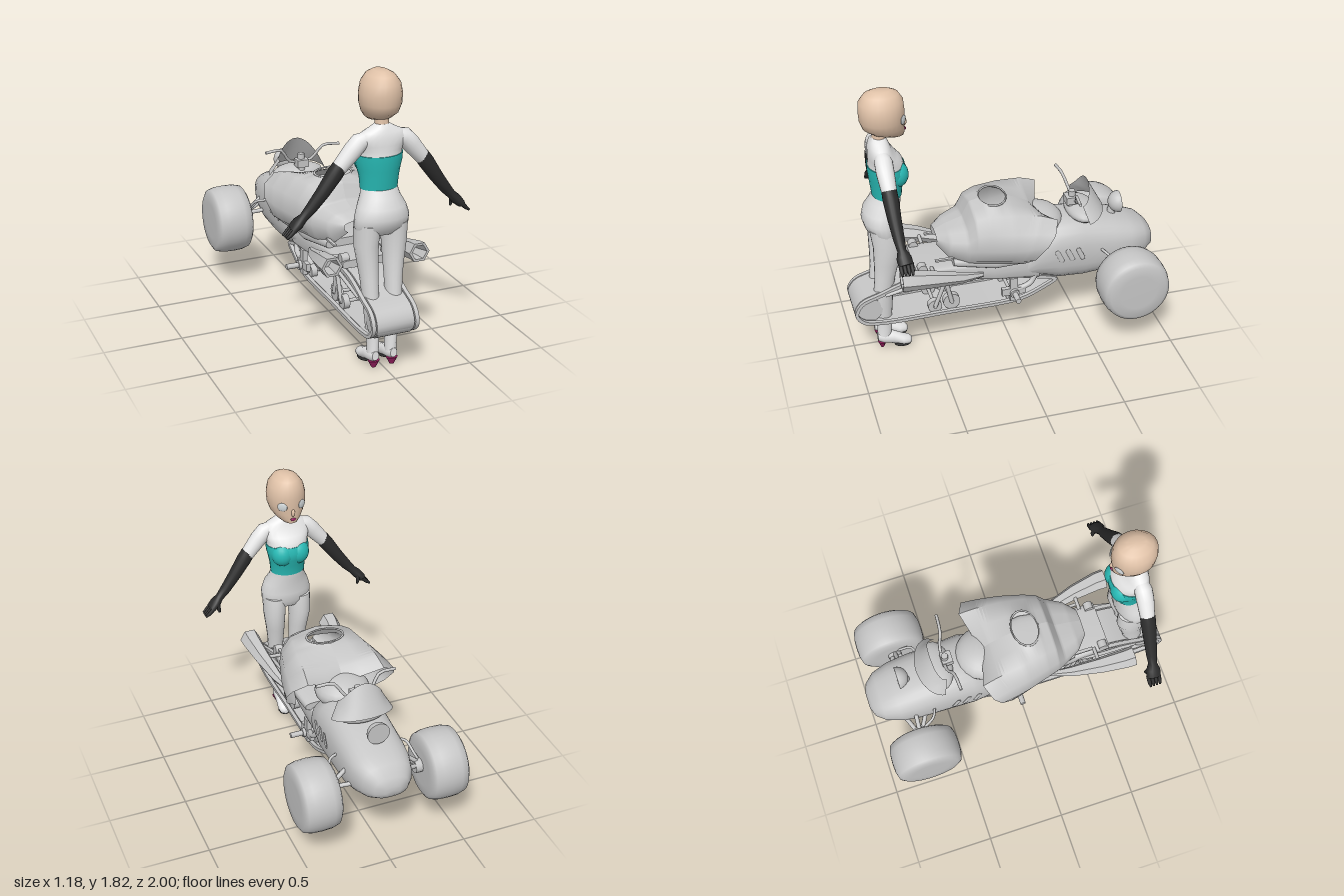
import * as THREE from 'three';
import { toCreasedNormals } from 'three/addons/utils/BufferGeometryUtils.js';

const V = (x, y, z) => new THREE.Vector3(x, y, z);
const Y = V(0, 1, 0), Z = V(0, 0, 1);
const mat = (name, color, side = THREE.FrontSide) => Object.assign(new THREE.MeshStandardMaterial({ color, side }), { name });
const mesh = (pos, idx) => {
  const g = new THREE.BufferGeometry();
  g.setAttribute('position', new THREE.Float32BufferAttribute(pos.flatMap(p => [p.x, p.y, p.z]), 3));
  g.setIndex(idx);
  return toCreasedNormals(g, 0.9);
};

// Skin a list of equal rings into a closed solid, facing outward
function loft(rings) {
  const n = rings[0].length, pos = rings.flat(), idx = [];
  for (let i = 0; i < rings.length - 1; i++) for (let j = 0; j < n; j++) {
    const a = i * n + j, b = i * n + (j + 1) % n;
    idx.push(a, b, a + n, b, b + n, a + n);
  }
  [0, rings.length - 1].forEach((r, k) => {
    const ci = pos.push(rings[r].reduce((s, p) => s.add(p), V(0, 0, 0)).divideScalar(n)) - 1;
    for (let j = 0; j < n; j++) {
      const a = r * n + j, b = r * n + (j + 1) % n;
      idx.push(...(k ? [a, b, ci] : [b, a, ci]));
    }
  });
  let vol = 0;
  for (let i = 0; i < idx.length; i += 3) vol += pos[idx[i]].dot(pos[idx[i + 1]].clone().cross(pos[idx[i + 2]]));
  if (vol < 0) idx.reverse();
  return mesh(pos, idx);
}

// Elliptic rings from [x, y, z, radiusU, radiusV]; axis is fixed, or follows the path
function sweep(secs, ref, axis = null, sides = 18, power = 1) {
  const bend = t => Math.sign(t) * Math.abs(t) ** power;
  return loft(secs.map((s, i) => {
    const p = secs[Math.max(0, i - 1)], q = secs[Math.min(secs.length - 1, i + 1)];
    const d = axis ?? V(q[0] - p[0], q[1] - p[1], q[2] - p[2]).normalize();
    const u = ref.clone().cross(d).normalize(), v = d.clone().cross(u);
    return Array.from({ length: sides }, (_, j) => {
      const a = j / sides * Math.PI * 2;
      return V(s[0], s[1], s[2]).addScaledVector(u, s[3] * bend(Math.cos(a))).addScaledVector(v, (s[4] ?? s[3]) * bend(Math.sin(a)));
    });
  }));
}

export function createModel() {
  const model = new THREE.Group(), vehicle = new THREE.Group(), rider = new THREE.Group();
  vehicle.name = 'vehicle';
  rider.name = 'figure';
  model.add(vehicle, rider);
  const grey = mat('vehicle grey', 0xc6c6c6, THREE.DoubleSide), white = mat('off white', 0xececec), cloth = mat('trouser grey', 0xdcdcdc);
  const teal = mat('teal', 0x28bab5), black = mat('black', 0x2b2b2b), skin = mat('skin', 0xe0c2a8);
  const magenta = mat('magenta', 0x9a2062), eyeMat = mat('eye grey', 0xd0d6d8);
  const add = (parent, name, geo, m, x = 0, y = 0, z = 0) => {
    const o = new THREE.Mesh(geo, m);
    o.name = name;
    o.position.set(x, y, z);
    parent.add(o);
    return o;
  };
  const part = (name, geo, x, y, z) => add(vehicle, name, geo, grey, x, y, z);
  const body = (name, geo, m, x, y, z) => add(rider, name, geo, m, x, y, z);
  const rod = (name, pts, r) => part(name, new THREE.TubeGeometry(new THREE.CatmullRomCurve3(pts.map(p => V(...p))), 16, r, 8));
  const disc = (r, w, sides = 24) => new THREE.CylinderGeometry(r, r, w, sides).rotateZ(Math.PI / 2);
  const ball = (rx, ry, rz) => new THREE.SphereGeometry(1, 20, 14).scale(rx, ry, rz);

  // Nose and chassis
  part('noseBody', sweep([[0, .55, -1, .05, .03], [0, .56, -.98, .11, .07], [0, .57, -.92, .16, .115],
    [0, .57, -.82, .192, .15], [0, .565, -.7, .203, .19], [0, .575, -.5, .205, .22], [0, .59, -.33, .215, .22],
    [0, .575, -.2, .2, .16], [0, .52, -.12, .17, .09]], Y, Z, 28, .75));
  part('chassis', sweep([[0, .51, -.2, .17, .09], [0, .525, .1, .172, .065], [0, .565, .35, .17, .055], [0, .6, .6, .165, .025]], Y, Z, 28, .35));
  part('underSeat', sweep([[0, .6, -.1, .2, .03], [0, .62, .1, .22, .05], [0, .64, .36, .17, .03]], Y, Z, 24, .5));
  part('tank', ball(.175, .1, .17), 0, .78, -.22);

  // Hollow seat cowl around an oval opening: [z, width, bottom, widest, ridge, centre, forward lean]
  const ribs = [[.45, .09, .74, .78, .8, .81, 0], [.38, .17, .66, .75, .835, .845, 0], [.27, .23, .62, .75, .86, .88, 0],
    [.22, .255, .62, .76, .94, .98, 0], [.14, .28, .62, .76, .965, 1.0, 0], [.02, .32, .62, .765, .965, .99, .1],
    [-.03, .345, .62, .775, .95, .92, .45], [-.07, .362, .62, .79, .91, .83, .75]];
  for (const s of [-1, 1]) {
    const pos = [], idx = [], steps = 8;
    for (let i = 0; i <= (ribs.length - 1) * steps; i++) {
      const r = Math.min(Math.floor(i / steps), ribs.length - 2), f = i / steps - r;
      const [z, w, yb, ym, yt, yc, k] = ribs[r].map((v, c) => v + (ribs[r + 1][c] - v) * f);
      const hole = .12 * Math.sqrt(Math.max(0, 1 - ((z - k * (yc - .62) - .07) / .086) ** 2));
      [[hole, yc], [Math.max(.35 * w, hole + .01), yt * .4 + yc * .6], [.7 * w, yt], [.95 * w, ym * .45 + yt * .55], [w, ym],
        [.92 * w, yb * .6 + ym * .4], [.7 * w, yb]].forEach(([x, y]) => pos.push(V(s * x, y, z - k * (y - .62))));
    }
    for (let a = 0; a < pos.length - 7; a++) if (a % 7 < 6)
      idx.push(...(s > 0 ? [a, a + 1, a + 7, a + 1, a + 8, a + 7] : [a, a + 7, a + 1, a + 1, a + 7, a + 8]));
    part('seatCowl', mesh(pos, idx));
  }
  part('cowlRim', new THREE.TorusGeometry(.1, .006, 8, 32).rotateX(Math.PI / 2).scale(1.2, 1, .85), 0, .996, .07).rotation.x = .06;

  // Windshield: tall in the middle, dropping to the sides
  const glass = new THREE.CylinderGeometry(.14, .2, .21, 20, 4, true, Math.PI / 2, Math.PI).scale(1, 1, .7);
  const gp = glass.attributes.position;
  for (let i = 0; i < gp.count; i++)
    gp.setY(i, gp.getY(i) - (gp.getY(i) / .21 + .5) * .1 * Math.min(1, Math.abs(gp.getX(i)) / .14) ** 2);
  glass.computeVertexNormals();
  part('windshield', glass, 0, .9, -.49).rotation.x = .3;

  // Instruments, handlebars and headlight
  part('dashboard', ball(.17, .055, .1), 0, .81, -.52);
  part('handlebarStem', new THREE.CylinderGeometry(.022, .03, .18, 10), 0, .86, -.46);
  rod('handlebar', [[-.26, .995, -.43], [-.15, .995, -.44], [-.07, .9, -.47], [.07, .9, -.47], [.15, .995, -.44], [.26, .995, -.43]], .01);
  part('barClamp', new THREE.BoxGeometry(.08, .05, .07), 0, .89, -.45);
  part('headlight', new THREE.SphereGeometry(.072, 20, 10, 0, Math.PI * 2, 0, Math.PI / 2).rotateX(Math.PI / 2), 0, .815, -.782);
  part('headlightLens', new THREE.CircleGeometry(.072, 20).rotateY(Math.PI), 0, .815, -.782);
  part('headlightMount', new THREE.CylinderGeometry(.02, .035, .09, 10), 0, .745, -.73);

  // Track belt and its edge rails
  const path = new THREE.CatmullRomCurve3([[-.33, .39], [-.24, .33], [-.1, .27], [.02, .255], [.4, .252], [.84, .25],
    [.95, .275], [1, .345], [.96, .43], [.84, .48], [.6, .555], [.2, .51], [-.15, .45]].map(p => V(p[0], p[1], 0)), true, 'centripetal');
  const belt = (thick, width) => {
    const ring = off => path.getSpacedPoints(100).slice(0, -1).map((p, i) => {
      const t = path.getTangentAt(i / 100);
      return new THREE.Vector2(p.x - t.y * off, p.y + t.x * off);
    });
    const s = new THREE.Shape(ring(0));
    s.holes.push(new THREE.Path(ring(thick)));
    return toCreasedNormals(new THREE.ExtrudeGeometry(s, { depth: width, bevelEnabled: false }).translate(0, 0, -width / 2).rotateY(-Math.PI / 2), .6);
  };
  part('trackBelt', belt(.014, .24));
  for (const s of [-1, 1]) part('trackRail', belt(.022, .025), s * .14, 0, 0);

  // Track rollers, hangers and rear drum
  part('rearDrum', disc(.088, .22, 32), 0, .345, .905);
  for (const [z, y, r] of [[.55, .52, .045], [.48, .302, .045], [.37, .32, .055], [-.03, .3, .042]]) {
    part('rollerAxle', disc(.012, .26, 8), 0, y, z);
    for (const s of [-1, 1]) part('roller', disc(r, .04), s * .1, y, z);
  }
  const tyre = [[0, -.122], [.12, -.122], [.185, -.12], [.21, -.105], [.222, -.06], [.225, 0], [.222, .06], [.21, .105], [.185, .12], [.12, .122], [0, .122]];
  for (const s of [-1, 1]) {
    part('hangerBlock', new THREE.BoxGeometry(.04, .09, .12), s * .1, .5, .4);
    rod('hangerStrut', [[s * .12, .46, .42], [s * .12, .3, .48]], .014);
    rod('hangerStrut', [[s * .12, .46, .4], [s * .12, .32, .37]], .014);
    part('pegPlate', new THREE.BoxGeometry(.03, .05, .16), s * .16, .36, -.03);
    part('pegPlate', new THREE.BoxGeometry(.03, .17, .05), s * .16, .375, -.03);
    part('footPeg', disc(.018, .12, 10), s * .22, .355, -.03);
    part('pegEnd', disc(.03, .02, 12), s * .19, .355, -.03);
    rod('pegBracket', [[s * .16, .36, -.03], [s * .16, .4, -.14], [s * .15, .46, -.18]], .018);
    rod('trackStay', [[s * .15, .57, .3], [s * .17, .55, .5], [s * .15, .47, .8]], .012);

    // Exhaust trumpet with hollow hexagonal mouth
    part('exhaust', sweep([[s * .2, .55, .18, .015], [s * .235, .575, .32, .035], [s * .268, .62, .5, .053], [s * .285, .65, .66, .064],
      [s * .285, .657, .72, .067], [s * .285, .657, .72, .05], [s * .275, .64, .6, .035]], Y, Z, 6));
    rod('exhaustClamp', [[s * .14, .62, .5], [s * .26, .63, .5]], .012);
    part('rearLamp', disc(.03, .05, 10), s * .14, .63, .56);
    part('seatHandle', new THREE.BoxGeometry(.02, .012, .12), s * .16, .68, .42);

    // Front wheel, suspension and side vents
    part('frontWheel', toCreasedNormals(new THREE.LatheGeometry(tyre.map(p => new THREE.Vector2(...p)), 40).rotateZ(Math.PI / 2), 1.2),
      s * .416 - .01, .452, -.745);
    for (const [y, z] of [[.47, -.66], [.47, -.8], [.55, -.73]]) rod('suspensionArm', [[s * .17, y + .04, z], [s * .31, .47, -.74]], .014);
    rod('brakeLine', [[s * .18, .6, -.6], [s * .25, .59, -.63], [s * .28, .53, -.7], [s * .31, .47, -.74]], .009);
    part('wheelHub', disc(.045, .05, 14), s * .285, .465, -.74);
    for (const z of [-.32, -.39, -.46])
      part('sideVent', new THREE.CapsuleGeometry(.016, .07, 4, 10).scale(.3, 1, 1), s * .213, .6, z).rotation.x = .45;
  }

  // Head, face and neck
  body('head', sweep([[0, 1.828, .74, .04, .06], [0, 1.805, .74, .08, .105], [0, 1.76, .742, .112, .134], [0, 1.7, .742, .125, .139],
    [0, 1.64, .74, .122, .137], [0, 1.59, .733, .106, .126], [0, 1.555, .708, .08, .102], [0, 1.53, .672, .048, .062],
    [0, 1.522, .66, .025, .03]], Z, Y, 24), skin);
  body('neck', sweep([[0, 1.6, .76, .042, .045], [0, 1.53, .765, .04, .042], [0, 1.48, .77, .05, .045]], Z, Y), skin);
  body('nose', ball(.012, .026, .014), skin, 0, 1.605, .606);
  body('lips', ball(.018, .01, .008), magenta, 0, 1.56, .606);

  // Torso, bodice and hips
  body('shoulders', sweep([[0, 1.525, .768, .038, .04], [0, 1.502, .768, .075, .052], [0, 1.478, .768, .125, .062], [0, 1.445, .765, .16, .072],
    [0, 1.4, .75, .155, .09], [0, 1.37, .735, .141, .104], [0, 1.335, .733, .138, .11]], Z, Y, 24), white);
  body('bodice', sweep([[0, 1.34, .735, .143, .113], [0, 1.3, .727, .143, .12], [0, 1.25, .727, .131, .114], [0, 1.2, .735, .12, .1],
    [0, 1.13, .735, .114, .092]], Z, Y, 24), teal);
  body('hips', sweep([[0, 1.14, .735, .11, .088], [0, 1.09, .752, .12, .1], [0, 1.03, .775, .15, .113], [0, .97, .782, .168, .118],
    [0, .91, .775, .168, .108], [0, .86, .765, .15, .07]], Z, Y, 24), cloth);

  for (const s of [-1, 1]) {
    body('eye', ball(.033, .029, .008), eyeMat, s * .066, 1.65, .624).rotation.y = -s * .6;
    body('bust', ball(.074, .083, .072), teal, s * .054, 1.282, .676);

    // Arm, long glove and fingers
    body('upperArm', sweep([[s * .085, 1.445, .768, .04], [s * .14, 1.425, .768, .055], [s * .185, 1.377, .768, .055], [s * .28, 1.265, .762, .044]], Z), white);
    body('glove', sweep([[s * .258, 1.295, .764, .046], [s * .29, 1.25, .762, .048], [s * .36, 1.15, .757, .041], [s * .43, 1.06, .75, .034],
      [s * .475, 1.01, .745, .027], [s * .505, .98, .74, .032, .045], [s * .54, .945, .735, .026, .046]], Z), black);
    for (const dz of [-.033, -.011, .011, .033])
      body('finger', sweep([[s * .53, .955, .735 + dz, .014], [s * .565, .92, .735 + dz, .012], [s * .587, .903, .735 + dz * .9, .007]], Z, null, 8), black);
    body('thumb', sweep([[s * .5, .985, .715, .016], [s * .497, .945, .7, .013], [s * .492, .922, .7, .007]], Z, null, 8), black);

    // Leg and heeled boot
    body('leg', sweep([[s * .085, .93, .77, .078, .1], [s * .09, .8, .76, .073, .093], [s * .083, .68, .772, .062, .08],
      [s * .078, .58, .785, .054, .067], [s * .075, .47, .8, .05, .062], [s * .068, .36, .805, .045, .06], [s * .06, .21, .803, .037, .047]], Z, Y), cloth);
    body('bootShaft', sweep([[s * .06, .22, .803, .04, .049], [s * .058, .15, .803, .035, .047], [s * .06, .08, .81, .035, .042]], Z, Y), white);
    body('bootFoot', sweep([[s * .06, .095, .852, .022, .03], [s * .06, .09, .82, .036, .045], [s * .06, .075, .75, .038, .046],
      [s * .063, .05, .69, .044, .036], [s * .065, .043, .65, .038, .03], [s * .065, .04, .633, .018, .018]], Y, Z), white);
    body('sole', ball(.036, .009, .055), black, s * .064, .015, .69);
    body('heel', new THREE.CylinderGeometry(.037, .014, .045, 12).scale(1, 1, .75), magenta, s * .06, .035, .825);
  }
  return model;
}
